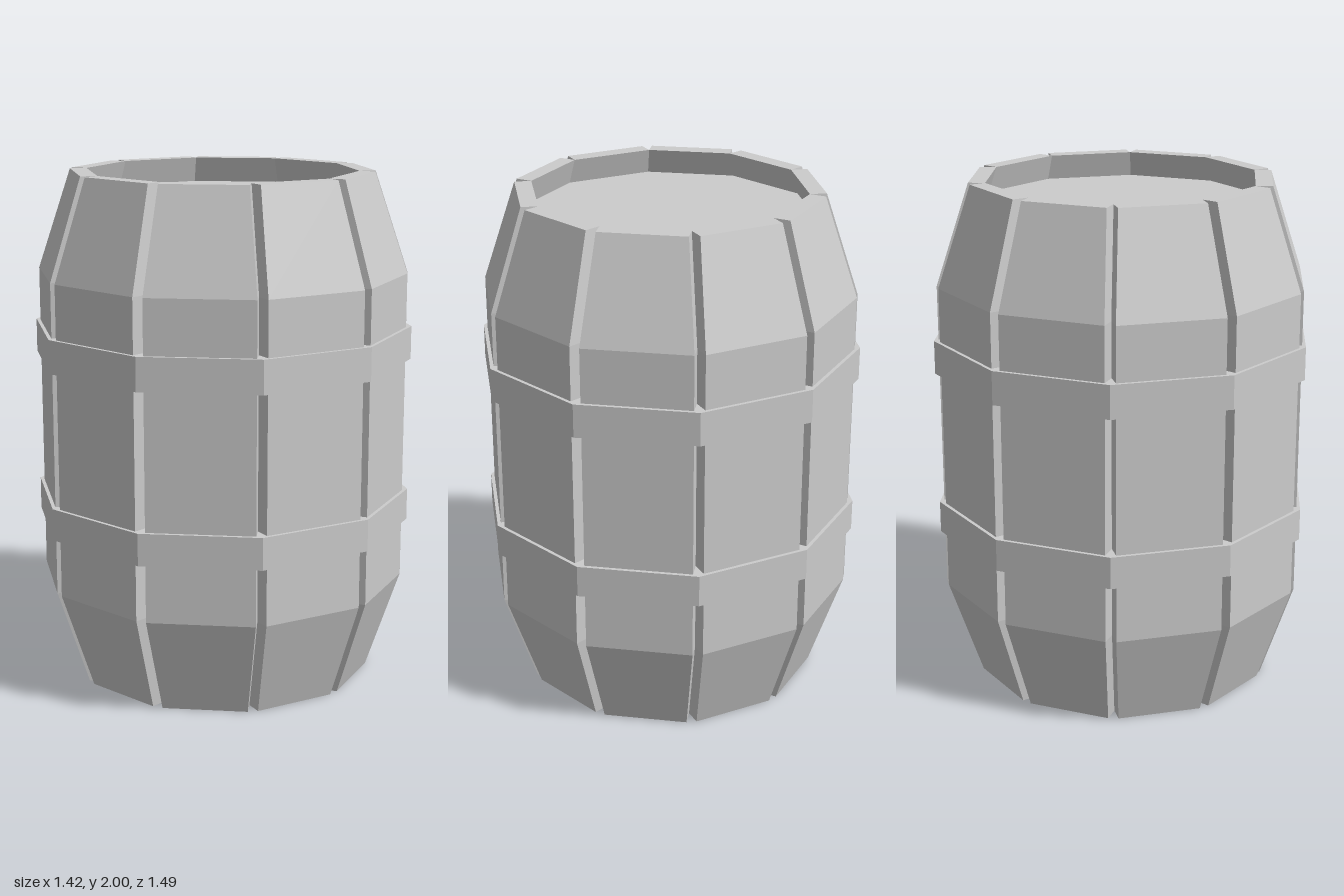
import * as THREE from 'three';

const SIDES = 10;
const HALF_ANGLE = Math.PI / SIDES;
const THICKNESS = 0.065;

// Height and outer apothem of the barrel at each ring of stave vertices
const RINGS = [[0, 0.57], [0.39, 0.695], [1.61, 0.695], [2, 0.57]];

// One plank facing +z: a box whose rings follow the barrel's bulge.
// Its inner edges touch those of its neighbours, leaving V-shaped gaps outside.
function staveGeometry() {
  const geometry = new THREE.BoxGeometry(2, 3, 1, 1, 3, 1);
  const p = geometry.attributes.position;
  for (let i = 0; i < p.count; i++) {
    const [y, outer] = RINGS[Math.round(p.getY(i) + 1.5)];
    const inner = outer - THICKNESS;
    p.setXYZ(i, p.getX(i) * inner * Math.tan(HALF_ANGLE), y, p.getZ(i) > 0 ? outer : inner);
  }
  geometry.computeVertexNormals();
  return geometry;
}

// Closed rectangular ring with ten flat sides
function hoopGeometry(bottom, top) {
  const profile = [[0.745, bottom], [0.745, top], [0.64, top], [0.64, bottom], [0.745, bottom]];
  return new THREE.LatheGeometry(profile.map(([r, y]) => new THREE.Vector2(r, y)), SIDES);
}

export function createModel() {
  const barrel = new THREE.Group();
  barrel.name = 'barrel';
  const material = new THREE.MeshStandardMaterial({ color: 0xcccccc, flatShading: true });

  const add = (name, geometry, parent = barrel) => {
    const mesh = new THREE.Mesh(geometry, material);
    mesh.name = name;
    parent.add(mesh);
    return mesh;
  };

  // Staves
  const staves = new THREE.Group();
  staves.name = 'staves';
  barrel.add(staves);
  const stave = staveGeometry();
  for (let i = 0; i < SIDES; i++) {
    add('stave', stave, staves).rotation.y = (2 * i + 1) * HALF_ANGLE;
  }

  // Hoops
  add('lowerHoop', hoopGeometry(0.615, 0.74));
  add('upperHoop', hoopGeometry(1.27, 1.4));

  // Recessed lid and flush base, fitted to the inside of the staves
  const innerRadius = (RINGS[0][1] - THICKNESS) / Math.cos(HALF_ANGLE);
  add('lid', new THREE.CylinderGeometry(innerRadius + 0.034, innerRadius + 0.044, 0.03, SIDES)).position.y = 1.885;
  add('base', new THREE.CylinderGeometry(innerRadius + 0.01, innerRadius, 0.03, SIDES)).position.y = 0.015;

  return barrel;
}
